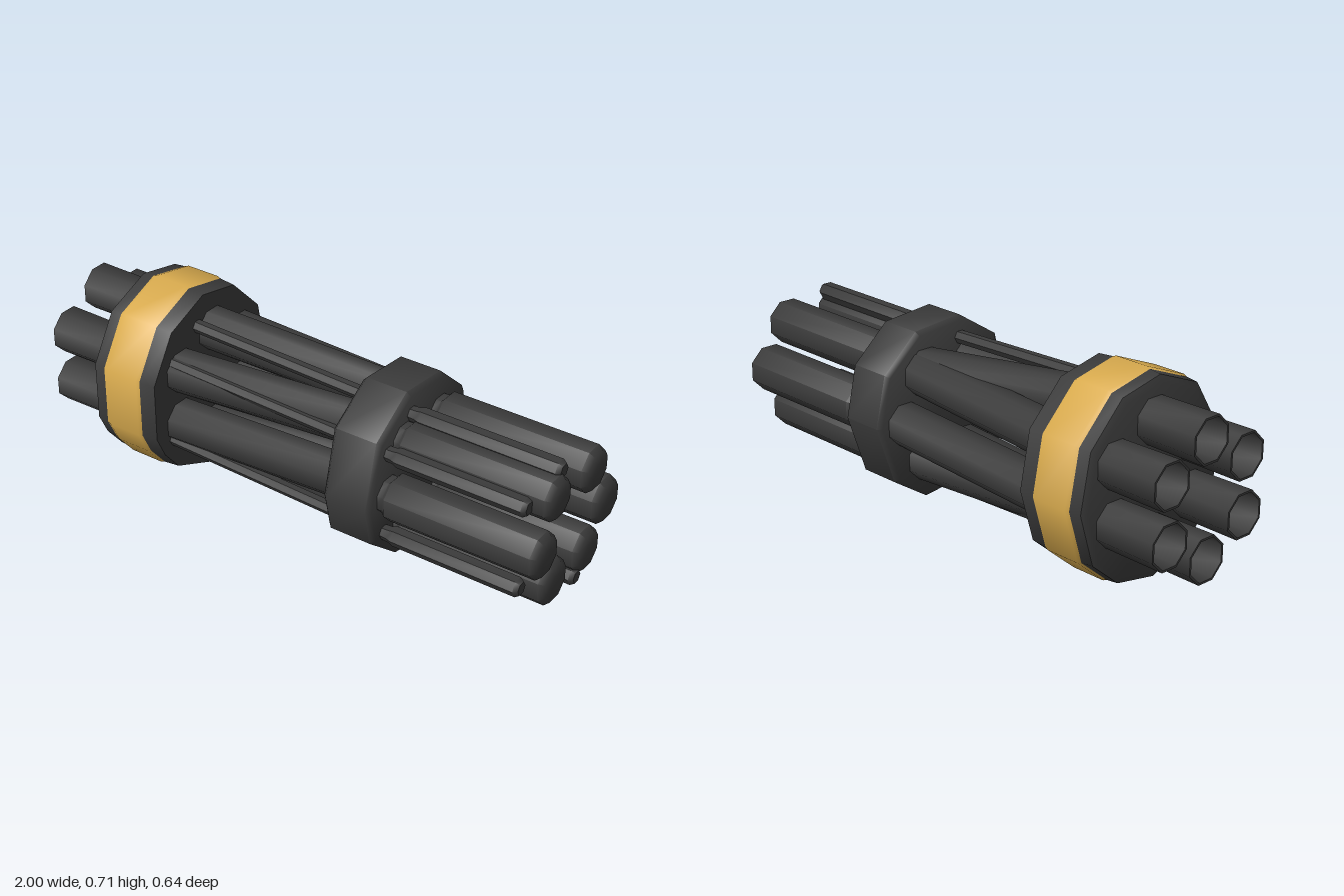
import * as THREE from 'three';
import { toCreasedNormals } from 'three/addons/utils/BufferGeometryUtils.js';

const darkMetal = new THREE.MeshStandardMaterial({ color: 0x3b3b3b });
darkMetal.name = 'dark metal';
const gold = new THREE.MeshStandardMaterial({ color: 0xd9ab4e });
gold.name = 'gold';

// Joins rings [x, scale, centreZ, centreY] of a [z, y] outline along the x axis
function loft(outline, rings, capStart = true, capEnd = true) {
  const n = outline.length, pos = [], index = [];
  for (const [x, s, cz, cy] of rings) {
    for (const [z, y] of outline) pos.push(x, cy + y * s, cz + z * s);
  }
  for (let r = 0; r < rings.length - 1; r++) {
    for (let i = 0; i < n; i++) {
      const a = r * n + i, b = r * n + (i + 1) % n;
      index.push(a, b, a + n, b, b + n, a + n);
    }
  }
  const cap = (r, flip) => {
    const [x, , cz, cy] = rings[r], c = pos.length / 3;
    pos.push(x, cy, cz);
    for (let i = 0; i < n; i++) {
      const a = r * n + i, b = r * n + (i + 1) % n;
      index.push(c, flip ? b : a, flip ? a : b);
    }
  };
  if (capStart) cap(0, true);
  if (capEnd) cap(rings.length - 1, false);
  const g = new THREE.BufferGeometry();
  g.setAttribute('position', new THREE.Float32BufferAttribute(pos, 3));
  g.setIndex(index);
  return toCreasedNormals(g, 0.9);
}

// Regular outline of radius 1
const regular = (n) => Array.from({ length: n }, (_, i) => {
  const a = (i + 0.5) / n * Math.PI * 2;
  return [Math.sin(a), Math.cos(a)];
});

// Outline measured about a centre, ordered for outward faces
const centred = (points, cz, cy) => points.map(([z, y]) => [z - cz, y - cy]).reverse();

export function createModel() {
  const group = new THREE.Group();
  const add = (name, geometry, material = darkMetal) => {
    const mesh = new THREE.Mesh(geometry, material);
    mesh.name = name;
    group.add(mesh);
  };
  const octagon = regular(8), hexagon = regular(6);

  // Large rear flange with its gold band
  const fz = 0, fy = 0.356;
  const flange = centred([
    [0.035, 0.712], [-0.14, 0.675], [-0.28, 0.53], [-0.32, 0.325], [-0.26, 0.13], [-0.14, 0.03],
    [0.03, 0], [0.21, 0.08], [0.28, 0.165], [0.32, 0.25], [0.32, 0.47], [0.215, 0.64],
  ], fz, fy);
  add('rearFlange', loft(flange, [
    [-0.765, 0.9, fz, fy], [-0.755, 0.97, fz, fy], [-0.7, 0.985, fz, fy],
    [-0.55, 0.985, fz, fy], [-0.49, 0.97, fz, fy],
  ]));
  add('goldBand', loft(flange, [
    [-0.71, 0.983, fz, fy], [-0.695, 1, fz, fy], [-0.565, 1, fz, fy], [-0.55, 0.983, fz, fy],
  ], false, false), gold);

  // Front collar
  const cz = 0, cy = 0.33;
  const collar = centred([
    [0.08, 0.648], [-0.12, 0.63], [-0.26, 0.505], [-0.3, 0.32], [-0.225, 0.105], [-0.08, 0.012],
    [0.125, 0.037], [0.28, 0.165], [0.31, 0.3], [0.25, 0.54],
  ], cz, cy);
  add('frontCollar', loft(collar, [
    [0.21, 0.95, cz, cy], [0.225, 1, cz, cy], [0.38, 1, cz, cy], [0.395, 0.95, cz, cy],
  ]));

  // Muzzle barrels in front of the collar: [z, y, radius, end x]
  const muzzles = [
    [0.115, 0.49, 0.08, 0.985], [-0.1, 0.485, 0.083, 0.995], [-0.185, 0.322, 0.087, 1],
    [-0.105, 0.165, 0.084, 0.985], [0.1, 0.16, 0.087, 0.98], [0.2, 0.325, 0.084, 0.995],
  ];
  muzzles.forEach(([z, y, r, end]) => add('muzzleBarrel', loft(octagon, [
    [0.38, r * 0.8, z, y], [0.415, r * 0.8, z, y], [0.43, r, z, y],
    [end - 0.025, r, z, y], [end - 0.006, r * 0.8, z, y], [end, r * 0.4, z, y],
  ])));

  // Rear tubes, hollow at the back, running on as barrels to the collar
  const rears = [];
  for (let i = 0; i < 6; i++) {
    const a = i * Math.PI / 3;
    rears.push([Math.sin(a) * 0.173 / 0.866, 0.362 + Math.cos(a) * 0.2]);
  }
  const targets = [1, 0, 5, 4, 2, 1];
  rears.forEach(([z, y], i) => {
    const [mz, my] = muzzles[targets[i]];
    add('rearTube', loft(octagon, [
      [-0.78, 0.07, z, y], [-1, 0.076, z, y], [-1, 0.084, z, y],
      [-0.6, 0.08, z, y], [0.3, 0.078, mz, my],
    ]));
  });
  // Seventh barrel, closing the underside
  add('lowerBarrel', loft(octagon, [
    [-0.6, 0.08, rears[3][0], rears[3][1]], [0.3, 0.078, muzzles[3][0], muzzles[3][1]],
  ]));

  // Slim rods beside the barrels: [z, y, radius, end x]
  for (const [z, y, r, end] of [
    [0.07, 0.568, 0.034, 0.96], [0.203, 0.484, 0.034, 0.92],
    [0.22, 0.185, 0.034, 0.92], [-0.057, 0.083, 0.034, 0.97],
  ]) {
    add('slimRod', loft(hexagon, [
      [-0.55, r * 0.7, z, y + 0.03], [0.35, r * 0.7, z, y], [0.42, r * 0.8, z, y],
      [0.44, r, z, y], [end - 0.015, r, z, y], [end, r * 0.7, z, y],
    ]));
  }
  return group;
}
